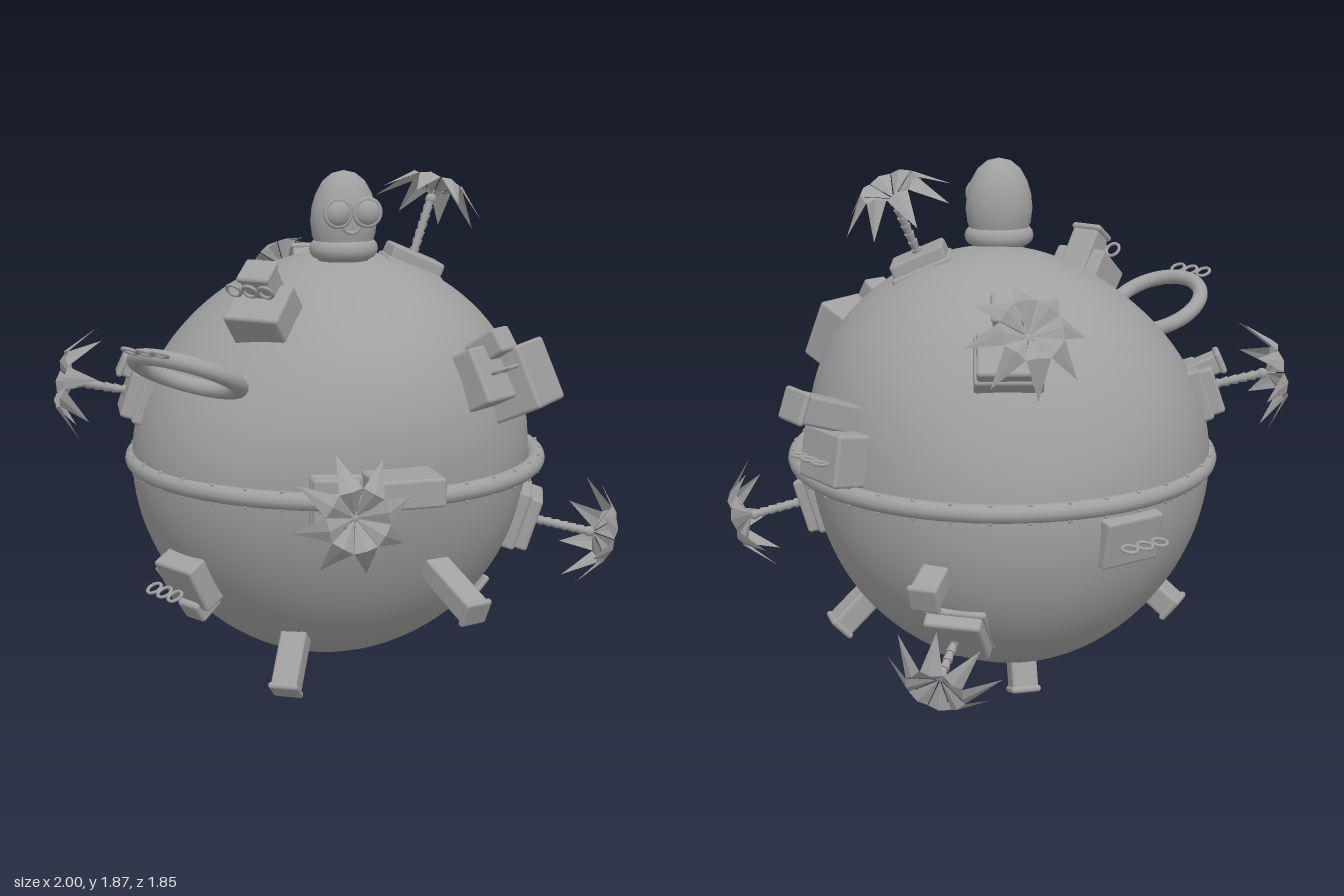
import * as THREE from 'three';
import { RoundedBoxGeometry } from 'three/addons/geometries/RoundedBoxGeometry.js';

const V = (x, y, z) => new THREE.Vector3(x, y, z);
const CENTRE = V(0, 0.83, -0.1);

export function createModel() {
  const root = new THREE.Group();
  const grey = new THREE.MeshStandardMaterial({ color: 0xa0a0a0 });
  grey.name = 'stone grey';
  const leafGrey = grey.clone();
  leafGrey.name = 'leaf grey';
  leafGrey.side = THREE.DoubleSide;
  leafGrey.flatShading = true;

  const add = (parent, name, geo, x = 0, y = 0, z = 0, mat = grey) => {
    const m = new THREE.Mesh(geo, mat);
    m.name = name;
    m.position.set(x, y, z);
    parent.add(m);
    return m;
  };

  // Group on the globe: local z points outward, local y up along the surface
  const mount = (name, x, y, z, radius) => {
    const n = V(x, y, z).sub(CENTRE).normalize();
    const right = V(0, 1, 0).cross(n).normalize();
    const up = n.clone().cross(right);
    const g = new THREE.Group();
    g.name = name;
    g.quaternion.setFromRotationMatrix(new THREE.Matrix4().makeBasis(right, up, n));
    g.position.copy(CENTRE).addScaledVector(n, radius);
    root.add(g);
    return g;
  };

  // Lumpy globe: a sphere raised or sunk around a few directions
  const bumps = [
    [0.85, 0.5, 0.2, 0.024], [-0.6, 0.65, 0.3, -0.04], [0, 0.35, 0.93, 0.015], [0.1, 0.6, 0.75, 0.04],
    [0, 0.45, -0.89, -0.035], [0, -0.75, -0.6, 0.032], [0, -0.3, 0.9, -0.04], [1, -0.05, 0, -0.028],
    [-0.8, 0.1, 0.55, 0.028], [0.1, 1, -0.1, 0.015], [0.75, 0.1, -0.6, -0.025], [-0.3, -0.88, 0.35, 0.015],
  ].map(([x, y, z, a]) => ({ dir: V(x, y, z).normalize(), a }));
  const globe = new THREE.SphereGeometry(1, 72, 54);
  const p = globe.attributes.position;
  const d = V(0, 0, 0);
  for (let i = 0; i < p.count; i++) {
    d.fromBufferAttribute(p, i).normalize();
    let r = 0.725;
    for (const b of bumps) r += b.a * Math.exp(6 * (d.dot(b.dir) - 1));
    p.setXYZ(i, d.x * r, d.y * r, d.z * r);
  }
  globe.computeVertexNormals();
  add(root, 'globe', globe, CENTRE.x, CENTRE.y, CENTRE.z);

  // Equator rail with rivets
  const rail = new THREE.Group();
  rail.name = 'equatorRail';
  rail.position.set(0.01, 0.827, -0.08);
  root.add(rail);
  add(rail, 'railTube', new THREE.TorusGeometry(0.734, 0.032, 12, 96)).rotation.x = Math.PI / 2;
  const rivet = new THREE.SphereGeometry(0.007, 8, 6);
  for (let i = 0; i < 36; i++) {
    const a = (i / 36) * Math.PI * 2;
    for (const s of [-1, 1]) {
      add(rail, 'rivet', rivet, Math.cos(a) * 0.746, s * 0.031, Math.sin(a) * 0.746);
    }
  }

  // Head with collar and goggles
  const head = new THREE.Group();
  head.name = 'head';
  head.position.set(0.007, 0, 0.038);
  root.add(head);
  const profile = [[0, 1.55], [0.09, 1.55], [0.098, 1.6], [0.113, 1.64], [0.119, 1.69], [0.114, 1.74],
    [0.1, 1.785], [0.076, 1.828], [0.042, 1.856], [0, 1.866]].map(q => new THREE.Vector2(...q));
  add(head, 'skull', new THREE.LatheGeometry(profile, 32)).scale.z = 0.86;
  const collar = add(head, 'collar', new THREE.TorusGeometry(0.087, 0.036, 14, 36), 0, 1.592, 0);
  collar.rotation.x = Math.PI / 2;
  collar.scale.y = 0.88;
  for (const s of [-1, 1]) {
    add(head, 'eye', new THREE.SphereGeometry(0.05, 24, 16), s * 0.053, 1.727, 0.1).scale.z = 0.75;
    add(head, 'eyeRim', new THREE.TorusGeometry(0.046, 0.009, 8, 28), s * 0.053, 1.727, 0.112);
  }
  add(head, 'mouth', new THREE.TorusGeometry(0.03, 0.007, 8, 16, Math.PI), 0, 1.685, 0.1).rotation.z = Math.PI;

  // Rounded box standing on a mount
  const box = (g, name, w, h, depth, x = 0, y = 0, z = 0) =>
    add(g, name, new RoundedBoxGeometry(w, h, depth, 2, 0.012), x, y, z);

  // Row of three small rings lying in the outward plane
  const ringGeo = new THREE.TorusGeometry(0.026, 0.006, 8, 20);
  const ringRow = (x, y, z) => {
    const g = mount('ringRow', x, y, z, V(x, y, z).distanceTo(CENTRE));
    for (const i of [-1, 0, 1]) add(g, 'smallRing', ringGeo, i * 0.062, 0, 0).rotation.x = Math.PI / 2;
  };

  // Square chimney with a lip at the outer end
  const chimney = (x, y, z, outer, w = 0.095, h = 0.085) => {
    const g = mount('chimney', x, y, z, 0);
    box(g, 'chimneyShaft', w, h, outer - 0.66, 0, 0, (outer + 0.66) / 2);
    box(g, 'chimneyLip', w + 0.014, h + 0.014, 0.024, 0, 0, outer - 0.012);
  };

  // Palm: segmented trunk and eight folded leaves that rise, then droop
  const leaf = new THREE.BufferGeometry();
  const A = [0.005, 0.01, 0], L = [0.1, 0.055, 0.04], R = [0.1, 0.055, -0.04];
  const M = [0.1, 0.066, 0], T = [0.205, -0.04, 0];
  leaf.setAttribute('position', new THREE.Float32BufferAttribute(
    [A, L, M, A, M, R, M, L, T, M, T, R].flat(), 3));
  leaf.computeVertexNormals();
  const segment = new THREE.CylinderGeometry(0.018, 0.012, 0.036, 10);
  const palm = (base, top) => {
    const from = V(...base), to = V(...top);
    const axis = to.clone().sub(from);
    const length = axis.length();
    const g = new THREE.Group();
    g.name = 'palm';
    g.position.copy(from);
    g.quaternion.setFromUnitVectors(V(0, 1, 0), axis.normalize());
    root.add(g);
    const n = Math.round(length / 0.034);
    for (let i = 0; i <= n; i++) add(g, 'trunkSegment', segment, 0, (i / n) * length - 0.018, 0);
    add(g, 'crown', new THREE.SphereGeometry(0.02, 10, 8), 0, length - 0.005, 0);
    for (let i = 0; i < 8; i++) {
      add(g, 'leaf', leaf, 0, length, 0, leafGrey).rotation.y = (i / 8) * Math.PI * 2 + 0.2;
    }
  };
  const planter = (x, y, z, w = 0.2, h = 0.2, outer = 0.8) => {
    const g = mount('planter', x, y, z, 0);
    box(g, 'planterBox', w, h, outer - 0.66, 0, 0, (outer + 0.66) / 2);
    box(g, 'planterFoot', w + 0.02, h + 0.02, 0.08, 0, 0, 0.705);
  };

  // Palms with their planters
  planter(0.3, 1.53, -0.06, 0.18, 0.2, 0.79);
  palm([0.3, 1.54, -0.07], [0.387, 1.745, -0.122]);
  planter(-0.7, 1.07, -0.19, 0.2, 0.17, 0.79);
  palm([-0.69, 1.07, -0.19], [-0.91, 1.117, -0.2]);
  planter(-0.19, 0.82, 0.62, 0.16, 0.17, 0.76);
  palm([-0.19, 0.825, 0.62], [-0.2, 0.832, 0.85]);
  planter(0.69, 0.59, 0.18, 0.22, 0.2, 0.79);
  palm([0.66, 0.6, 0.18], [0.91, 0.53, 0.205]);
  planter(0.06, 1.29, -0.65, 0.21, 0.16, 0.79);
  palm([0.05, 1.28, -0.65], [0.02, 1.41, -0.82]);
  planter(0.22, 0.37, -0.62, 0.2, 0.2, 0.79);
  palm([0.22, 0.36, -0.61], [0.3, 0.25, -0.76]);

  // Chimneys around the globe
  chimney(0.245, 0.465, 0.64, 0.955);
  chimney(-0.28, 0.166, 0.345, 0.94);
  chimney(-0.03, 0.06, -0.35, 0.86);
  chimney(0.585, 0.262, -0.2, 0.87);
  chimney(0.3, 0.59, -0.69, 0.85);
  chimney(-0.52, 0.36, -0.37, 0.82);
  chimney(0.06, 1.41, -0.64, 0.91, 0.1, 0.1);
  chimney(-0.72, 1.16, -0.21, 0.84, 0.09, 0.07);

  // Upper right front house: plate, block, hut and rings
  box(mount('houseBase', 0.37, 1.17, 0.44, 0.75), 'houseBaseBox', 0.23, 0.2, 0.17);
  box(mount('houseBlock', 0.53, 1.16, 0.415, 0.8), 'houseBlockBox', 0.23, 0.23, 0.2);
  box(mount('houseHut', 0.4, 1.28, 0.45, 0.83), 'houseHutBox', 0.1, 0.09, 0.14);
  ringRow(0.45, 1.225, 0.53);

  // Upper left front house
  box(mount('houseBase', -0.355, 1.43, 0.27, 0.75), 'houseBaseBox', 0.21, 0.17, 0.14);
  chimney(-0.365, 1.545, 0.28, 0.91, 0.11, 0.09);
  ringRow(-0.4, 1.49, 0.3);

  // Right back house
  box(mount('houseBase', 0.62, 0.945, -0.47, 0.73), 'houseBaseBox', 0.22, 0.18, 0.14);
  chimney(0.7, 1.11, -0.48, 0.92, 0.13, 0.1);
  ringRow(0.71, 0.955, -0.54);

  // Lower left house
  box(mount('houseBase', -0.59, 0.48, 0.19, 0.74), 'houseBaseBox', 0.2, 0.18, 0.13);
  box(mount('houseHut', -0.55, 0.4, 0.19, 0.77), 'houseHutBox', 0.1, 0.08, 0.12);
  ringRow(-0.69, 0.435, 0.2);

  // Back plate under the rail
  box(mount('backPlate', -0.33, 0.7, -0.72, 0.71), 'backPlateBox', 0.23, 0.17, 0.08);
  ringRow(-0.37, 0.7, -0.81);

  // Front balcony box above the rail
  box(root, 'balcony', 0.24, 0.1, 0.26, 0.013, 0.877, 0.67);

  // Large hoop standing on edge, with its own ring row
  const hoop = mount('hoop', -0.645, 1.245, 0.433, V(-0.645, 1.245, 0.433).distanceTo(CENTRE));
  add(hoop, 'hoopTube', new THREE.TorusGeometry(0.178, 0.028, 14, 48)).rotation.x = Math.PI / 2;
  ringRow(-0.81, 1.347, 0.565);

  return root;
}
